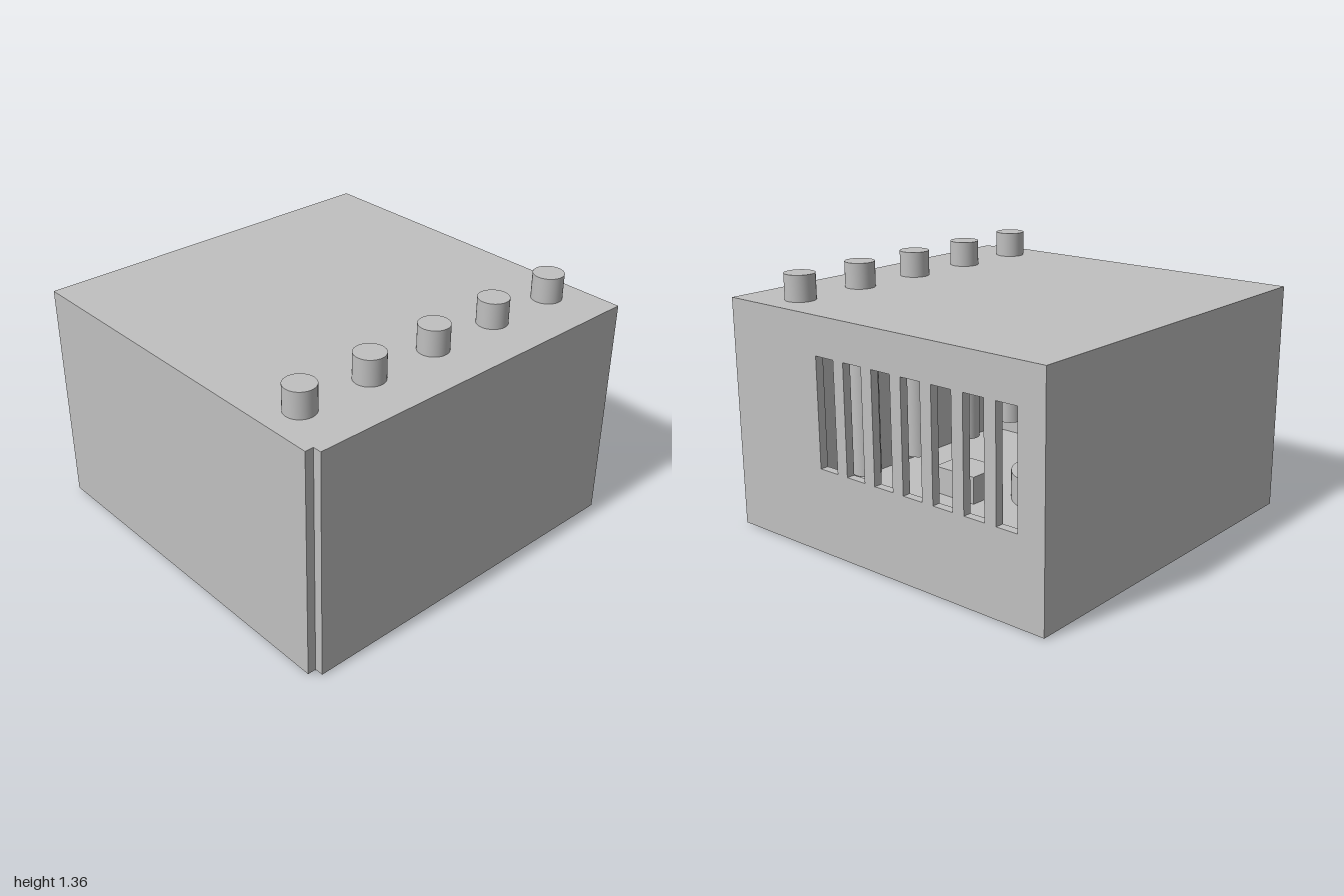
import * as THREE from 'three';

const T = 0.045;           // panel thickness
const TOP = 1.22;          // lid height
const LOW = 0.006;         // walls stop just above the base underside

export function createModel() {
  const model = new THREE.Group();
  model.name = 'ventedBox';
  const grey = new THREE.MeshStandardMaterial({ color: 0xc0c0c0 });
  grey.name = 'lightGrey';

  const add = (name, geometry, x = 0, y = 0, z = 0) => {
    const mesh = new THREE.Mesh(geometry, grey);
    mesh.name = name;
    mesh.position.set(x, y, z);
    model.add(mesh);
    return mesh;
  };
  // Box given by its limits on each axis
  const panel = (name, x0, x1, y0, y1, z0, z1) =>
    add(name, new THREE.BoxGeometry(x1 - x0, y1 - y0, z1 - z0),
      (x0 + x1) / 2, (y0 + y1) / 2, (z0 + z1) / 2);
  const rectangle = (Kind, x0, y0, x1, y1) => {
    const p = new Kind();
    p.moveTo(x0, y0).lineTo(x1, y0).lineTo(x1, y1).lineTo(x0, y1).closePath();
    return p;
  };

  // Lid with a square notch at the open front corner
  const lidShape = new THREE.Shape();
  lidShape.moveTo(-1, -1).lineTo(1 - T, -1).lineTo(1 - T, -1 + T)
    .lineTo(1, -1 + T).lineTo(1, 1).lineTo(-1, 1).closePath();
  const lid = new THREE.ExtrudeGeometry(lidShape, { depth: T, bevelEnabled: false });
  lid.rotateX(-Math.PI / 2);
  add('lid', lid, 0, TOP - T, 0);

  // Base set inside the walls
  panel('base', -1 + T, 1 - T, 0, T, -1 + T, 1 - T);

  // Walls, leaving the notched corner open
  const wallTop = TOP - T;
  panel('frontWall', -1, 1 - T, LOW, wallTop, 1 - T, 1);
  panel('leftWall', 1 - T, 1, LOW, wallTop, -1 + T, 1 - T);
  panel('rightWall', -1, -1 + T, LOW, wallTop, -1 + T, 1 - T);

  // Back wall with seven tall vent slots
  const back = rectangle(THREE.Shape, -1, LOW, 1, wallTop);
  for (let i = 0; i < 7; i++) {
    const x = 0.27 - i * 0.187;
    back.holes.push(rectangle(THREE.Path, x, 0.45, x + 0.12, 1.02));
  }
  add('ventedBackWall',
    new THREE.ExtrudeGeometry(back, { depth: T, bevelEnabled: false }), 0, 0, -1);

  // Row of plungers passing through the lid
  const low = 0.19, high = 1.355;
  for (let i = -2; i <= 2; i++) {
    add('plunger', new THREE.CylinderGeometry(0.079, 0.079, high - low, 40),
      0.7, (low + high) / 2, i * 0.405);
  }

  // Parts standing on the base
  panel('innerBlock', 0.18, 0.46, T, 0.2, -0.12, 0.1);
  add('innerDrum', new THREE.CylinderGeometry(0.25, 0.25, 0.16, 40), -0.1, T + 0.08, 0.25);

  return model;
}
